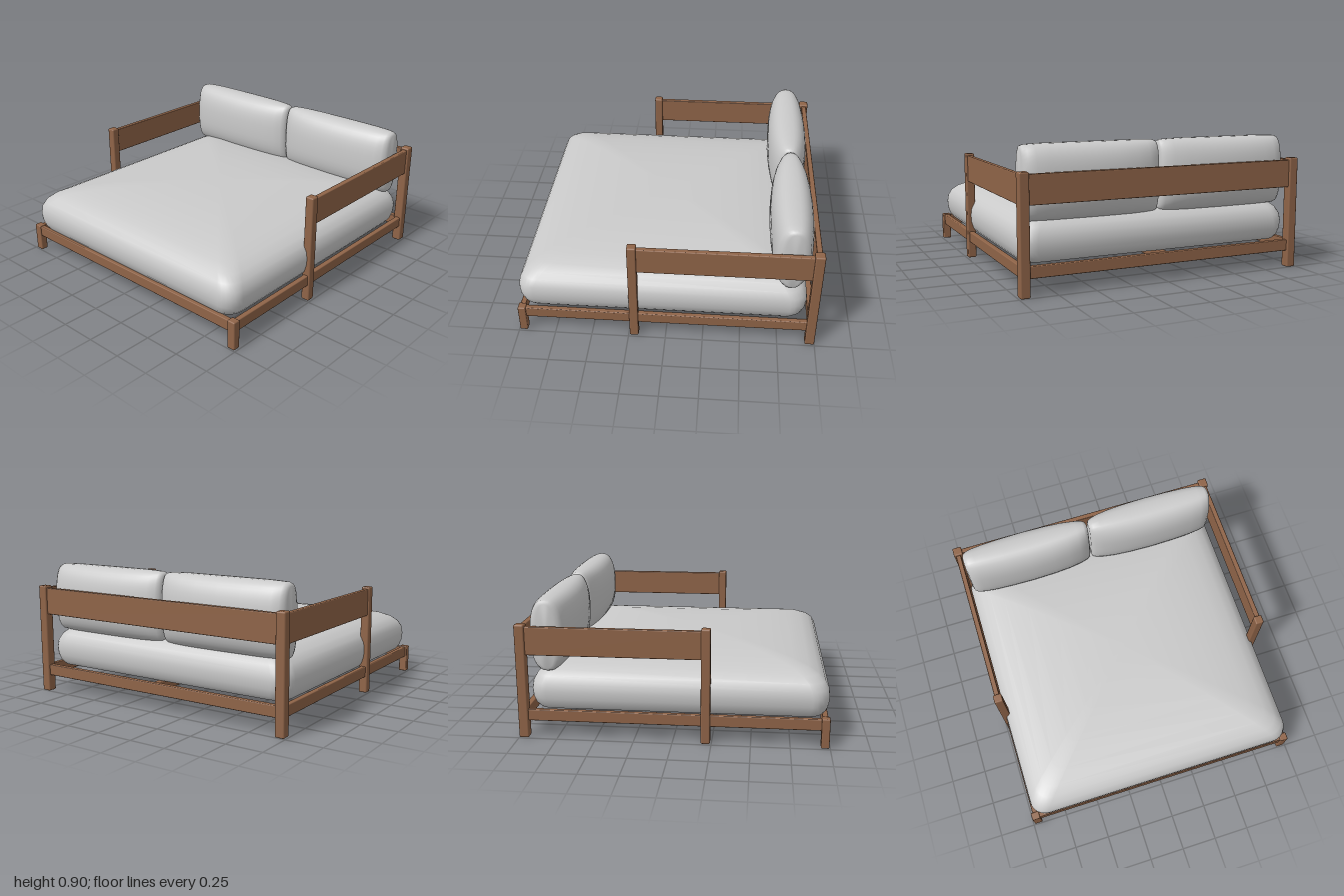
import * as THREE from 'three';
import { toCreasedNormals } from 'three/addons/utils/BufferGeometryUtils.js';
import { RoundedBoxGeometry } from 'three/addons/geometries/RoundedBoxGeometry.js';

const wood = new THREE.MeshStandardMaterial({ color: 0x8f6448 });
wood.name = 'warm wood';
const fabric = new THREE.MeshStandardMaterial({ color: 0xcacaca });
fabric.name = 'light grey fabric';

// Skin a stack of closed rings (each turning right-handed about the stacking axis) and cap both ends
function loft(rings) {
  const n = rings[0].length, pos = [], index = [];
  rings.forEach(r => r.forEach(p => pos.push(p.x, p.y, p.z)));
  for (let i = 0; i < rings.length - 1; i++) {
    for (let j = 0; j < n; j++) {
      const k = (j + 1) % n, a = i * n + j, b = i * n + k;
      index.push(a, b, a + n, b, b + n, a + n);
    }
  }
  [0, rings.length - 1].forEach((i, end) => {
    const c = new THREE.Vector3();
    rings[i].forEach(p => c.addScaledVector(p, 1 / n));
    const centre = pos.length / 3;
    pos.push(c.x, c.y, c.z);
    for (let j = 0; j < n; j++) {
      const a = i * n + j, b = i * n + (j + 1) % n;
      if (end) index.push(centre, a, b); else index.push(centre, b, a);
    }
  });
  const geo = new THREE.BufferGeometry();
  geo.setAttribute('position', new THREE.Float32BufferAttribute(pos, 3));
  geo.setIndex(index);
  return toCreasedNormals(geo, 1.0);
}

// Point on a unit superellipse
function superPoint(angle, power) {
  const f = v => Math.sign(v) * Math.pow(Math.abs(v), 2 / power);
  return [f(Math.cos(angle)), f(Math.sin(angle))];
}

// Seat mattress: rounded rectangles narrowing into a low crown, [scale, height]
function mattressGeometry() {
  const profile = [
    [0.962, 0.188], [0.982, 0.215], [0.996, 0.26], [1, 0.31], [0.993, 0.36], [0.968, 0.405],
    [0.925, 0.44], [0.86, 0.468], [0.76, 0.49], [0.6, 0.513], [0.4, 0.528], [0.2, 0.536], [0.02, 0.538],
  ];
  const hx = 0.965, hz = 0.9625, r = 0.11;
  const outline = [];
  for (let q = 0; q < 4; q++) {
    const sx = q < 2 ? 1 : -1, sz = q === 0 || q === 3 ? 1 : -1;
    for (let k = 0; k <= 6; k++) {
      const a = (q + k / 6) * Math.PI / 2;
      outline.push([sx * (hx - r) + r * Math.sin(a), sz * (hz - r) + r * Math.cos(a)]);
    }
  }
  return loft(profile.map(([s, y]) =>
    outline.map(([x, z]) => new THREE.Vector3(x * s, y, 0.0325 + z * s))));
}

// Back cushion: upright oval sections from the inner to the outer end, [x, depth, height]
function cushionGeometry(side) {
  const stations = [
    [0.006, 0.34, 0.88], [0.014, 0.5, 0.95], [0.035, 0.62, 0.98], [0.09, 0.76, 0.99], [0.18, 0.88, 1],
    [0.3, 0.96, 1], [0.47, 1, 1], [0.64, 0.97, 1], [0.77, 0.91, 1],
    [0.85, 0.84, 0.99], [0.9, 0.74, 0.98], [0.922, 0.6, 0.95], [0.93, 0.42, 0.88],
  ];
  const ordered = side > 0 ? stations : [...stations].reverse();
  return loft(ordered.map(([x, d, h]) => {
    const ring = [];
    for (let j = 0; j < 40; j++) {
      const [c, s] = superPoint(j / 40 * Math.PI * 2, 2.6);
      ring.push(new THREE.Vector3(side * x, 0.667 + c * 0.238 * h, -0.813 + s * 0.144 * d));
    }
    return ring;
  }));
}

export function createModel() {
  const model = new THREE.Group();
  model.name = 'daybed';

  const add = (name, geometry, material) => {
    const mesh = new THREE.Mesh(geometry, material);
    mesh.name = name;
    model.add(mesh);
  };
  // Timber given by its limits on each axis, with softened edges
  const timber = (name, [x0, x1], [y0, y1], [z0, z1], r = 0.006) => {
    const geo = new RoundedBoxGeometry(x1 - x0, y1 - y0, z1 - z0, 2, r);
    geo.translate((x0 + x1) / 2, (y0 + y1) / 2, (z0 + z1) / 2);
    add(name, geo, wood);
  };

  const railY = [0.115, 0.19], boardY = [0.555, 0.74];

  // Posts, side rails, armrests and back cushions on both sides
  for (const side of [1, -1]) {
    const label = side > 0 ? 'left' : 'right';
    const span = (a, b) => (side > 0 ? [a, b] : [-b, -a]);
    timber(label + 'BackPost', span(0.927, 0.992), [0, 0.755], [-1, -0.935], 0.01);
    timber(label + 'MiddlePost', span(0.93, 0.99), [0, 0.755], [0.182, 0.242], 0.01);
    timber(label + 'FrontPost', span(0.932, 0.99), [0, 0.197], [0.942, 0.995], 0.008);
    timber(label + 'SideRail', span(0.942, 0.978), railY, [-0.95, 0.96]);
    timber(label + 'Armrest', span(0.945, 0.98), boardY, [-0.945, 0.2]);
    add(label + 'BackCushion', cushionGeometry(side), fabric);
  }

  // Cross members
  timber('frontRail', [-0.95, 0.95], railY, [0.95, 0.986]);
  timber('backRail', [-0.95, 0.95], railY, [-0.986, -0.945]);
  timber('backrestBoard', [-0.95, 0.95], boardY, [-0.986, -0.95]);
  timber('centreBeam', [-0.025, 0.025], [0.125, 0.186], [-0.96, 0.96]);

  add('mattress', mattressGeometry(), fabric);
  return model;
}
